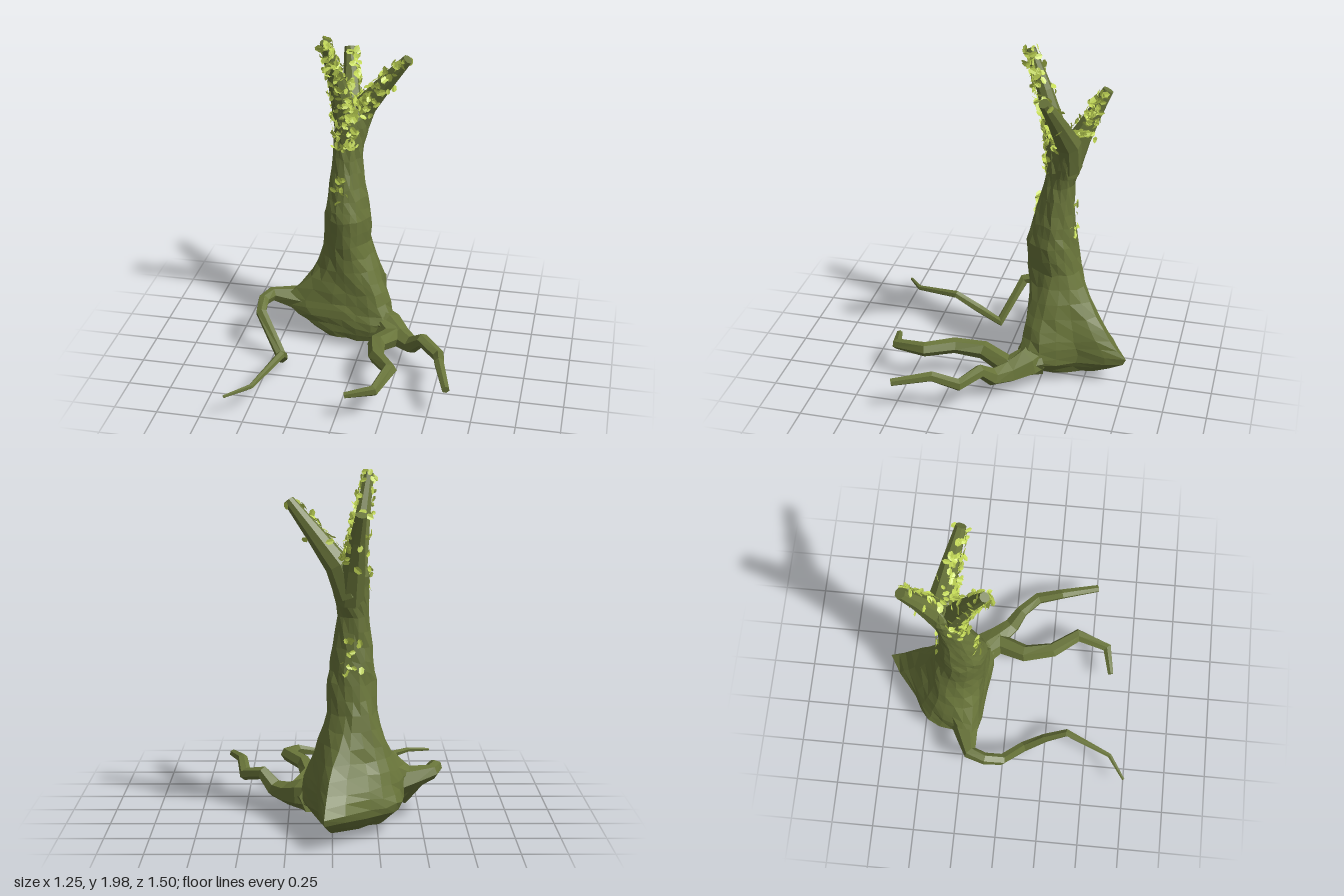
import * as THREE from 'three';
import { mergeGeometries } from 'three/addons/utils/BufferGeometryUtils.js';

const V = (x, y, z) => new THREE.Vector3(x, y, z);

let seed = 7;
const rand = () => (seed = (seed * 16807) % 2147483647) / 2147483647;
const jitter = (s) => (rand() - 0.5) * 2 * s;

// Skin a list of rings (counter-clockwise about the travel direction), closed at both ends
function loft(rings) {
  const n = rings[0].length, pos = [], index = [];
  rings.forEach((ring) => ring.forEach((p) => pos.push(p.x, p.y, p.z)));
  for (let j = 0; j < rings.length - 1; j++) {
    for (let i = 0; i < n; i++) {
      const a = j * n + i, b = j * n + (i + 1) % n;
      index.push(a, b, a + n, b, b + n, a + n);
    }
  }
  [0, rings.length - 1].forEach((j) => {
    const c = rings[j].reduce((s, p) => s.add(p), V(0, 0, 0)).divideScalar(n);
    const centre = pos.length / 3;
    pos.push(c.x, c.y, c.z);
    for (let i = 0; i < n; i++) {
      const a = j * n + i, b = j * n + (i + 1) % n;
      if (j === 0) index.push(centre, b, a);
      else index.push(centre, a, b);
    }
  });
  const g = new THREE.BufferGeometry();
  g.setAttribute('position', new THREE.Float32BufferAttribute(pos, 3));
  g.setIndex(index);
  const flat = g.toNonIndexed();
  flat.computeVertexNormals();
  return flat;
}

// Angular limb through points [x, y, z, radius]
function limb(points, sides = 6) {
  const p = points.map(([x, y, z]) => V(x, y, z));
  let normal = V(0.31, 0.2, 0.93);
  const rings = points.map((pt, k) => {
    const t = V(0, 0, 0);
    if (k > 0) t.add(p[k].clone().sub(p[k - 1]).normalize());
    if (k < p.length - 1) t.add(p[k + 1].clone().sub(p[k]).normalize());
    t.normalize();
    normal = normal.clone().addScaledVector(t, -normal.dot(t)).normalize();
    const side = t.clone().cross(normal);
    return Array.from({ length: sides }, (_, i) => {
      const a = (i / sides) * Math.PI * 2;
      return p[k].clone().addScaledVector(normal, pt[3] * Math.cos(a)).addScaledVector(side, pt[3] * Math.sin(a));
    });
  });
  return loft(rings);
}

// Trunk: irregular outlines at the foot, ovals above, splined round and upward
function trunkGeometry() {
  const foot = [
    [0.07, [0.1, -0.25, 0.07, -0.14, -0.03, -0.13, -0.15, -0.15, -0.25, -0.2,
      -0.28, -0.32, -0.25, -0.42, -0.14, -0.49, 0, -0.55, 0.06, -0.4]],
    [0.17, [0.18, -0.25, 0.15, -0.12, -0.03, -0.12, -0.2, -0.14, -0.36, -0.17,
      -0.38, -0.31, -0.35, -0.47, -0.2, -0.57, 0.045, -0.75, 0.08, -0.47]],
    [0.29, [0.16, -0.26, 0.1, -0.15, -0.03, -0.14, -0.18, -0.15, -0.48, -0.185,
      -0.4, -0.31, -0.33, -0.45, -0.2, -0.55, 0.035, -0.66, 0.08, -0.45]],
    [0.45, [0.1, -0.26, 0.05, -0.17, -0.04, -0.15, -0.16, -0.15, -0.3, -0.2,
      -0.32, -0.31, -0.29, -0.41, -0.18, -0.48, -0.01, -0.55, 0.06, -0.42]],
  ];
  // height, centre x, centre z, radius x, radius z
  const ovals = [
    [0.65, -0.11, -0.295, 0.145, 0.16], [0.85, -0.105, -0.27, 0.135, 0.145],
    [1.0, -0.11, -0.28, 0.115, 0.12], [1.2, -0.115, -0.305, 0.09, 0.088],
    [1.35, -0.1, -0.335, 0.098, 0.088], [1.47, -0.09, -0.355, 0.1, 0.085],
    [1.53, -0.09, -0.36, 0.06, 0.05],
  ];
  const keys = foot.map(([y, xz]) => Array.from({ length: 10 }, (_, i) => V(xz[2 * i], y, xz[2 * i + 1])));
  ovals.forEach(([y, cx, cz, rx, rz]) => keys.push(Array.from({ length: 10 }, (_, i) => {
    const a = (i / 10) * Math.PI * 2;
    const groove = i === 1 ? 0.88 : 1;
    return V(cx + rx * groove * Math.cos(a), y, cz + rz * groove * Math.sin(a));
  })));
  const around = 20, up = 24;
  const fine = keys.map((k) => {
    const c = new THREE.CatmullRomCurve3(k, true);
    return Array.from({ length: around }, (_, i) => c.getPoint(i / around));
  });
  const columns = Array.from({ length: around }, (_, i) => new THREE.CatmullRomCurve3(fine.map((r) => r[i])));
  const rings = [];
  for (let j = 0; j <= up; j++) {
    // Slight unevenness gives the bark its facets
    rings.push(columns.map((c) => c.getPoint(j / up).add(V(jitter(0.006), jitter(0.01), jitter(0.006)))).reverse());
  }
  return loft(rings);
}

const branches = {
  frontBranch: [[-0.1, 1.3, -0.31, 0.08], [-0.13, 1.5, -0.28, 0.066], [-0.165, 1.75, -0.2, 0.044], [-0.2, 1.97, -0.11, 0.028]],
  leftBranch: [[-0.09, 1.33, -0.36, 0.075], [-0.03, 1.5, -0.365, 0.072], [0.1, 1.67, -0.325, 0.05], [0.235, 1.84, -0.28, 0.03]],
  backBranch: [[-0.1, 1.3, -0.34, 0.08], [-0.115, 1.5, -0.41, 0.066], [-0.13, 1.65, -0.485, 0.045], [-0.15, 1.79, -0.555, 0.032]],
};

const roots = {
  rightRoot: [[-0.3, 0.25, -0.26, 0.1], [-0.44, 0.275, -0.225, 0.068], [-0.56, 0.3, -0.19, 0.042], [-0.59, 0.305, -0.1, 0.036],
    [-0.58, 0.28, 0, 0.034], [-0.425, 0.045, 0.12, 0.032], [-0.385, 0.15, 0.25, 0.027],
    [-0.365, 0.24, 0.38, 0.024], [-0.47, 0.19, 0.65, 0.015], [-0.605, 0.165, 0.745, 0.009]],
  middleRoot: [[0.1, 0.17, -0.24, 0.1], [0.2, 0.15, -0.08, 0.066], [0.135, 0.195, 0.08, 0.053], [0.165, 0.22, 0.25, 0.046],
    [0.27, 0.235, 0.4, 0.042], [0.215, 0.21, 0.585, 0.032], [0.055, 0.18, 0.62, 0.019]],
  leftRoot: [[0.02, 0.18, -0.25, 0.11], [0.17, 0.165, -0.18, 0.088], [0.25, 0.145, -0.1, 0.066], [0.33, 0.15, -0.02, 0.052],
    [0.4, 0.225, 0.035, 0.04], [0.51, 0.19, 0.13, 0.037], [0.535, 0.24, 0.28, 0.031], [0.605, 0.21, 0.5, 0.023]],
};

// One nearly flat, pointed oval leaf, attached at its tip
function leafGeometry() {
  const g = new THREE.CircleGeometry(0.5, 6).toNonIndexed();
  const p = g.attributes.position;
  for (let i = 0; i < p.count; i++) {
    const y = p.getY(i) * 0.7;
    p.setXYZ(i, p.getX(i) + 0.3, y, Math.abs(y) * 0.2);
  }
  g.computeVertexNormals();
  return g;
}

// Scatter leaves along a limb, biased toward one facing direction
function scatter(points, count, facing, spread) {
  const base = leafGeometry(), out = [];
  for (let k = 0; k < count; k++) {
    const s = rand() * (points.length - 1), j = Math.floor(s), f = s - j;
    const a = points[j], b = points[j + 1];
    const at = V(...a).lerp(V(...b), f);
    const axis = V(...b).sub(V(...a)).normalize();
    const dir = V(jitter(1), jitter(1), jitter(1)).multiplyScalar(spread).add(V(...facing).normalize());
    dir.addScaledVector(axis, -dir.dot(axis)).normalize();
    at.addScaledVector(dir, THREE.MathUtils.lerp(a[3], b[3], f) + 0.008);
    const lean = dir.clone().add(V(jitter(0.7), jitter(0.7), jitter(0.7))).normalize();
    const q = new THREE.Quaternion().setFromUnitVectors(V(0, 0, 1), lean)
      .multiply(new THREE.Quaternion().setFromAxisAngle(V(0, 0, 1), rand() * Math.PI * 2));
    const size = 0.032 + rand() * 0.024;
    out.push(base.clone().applyMatrix4(new THREE.Matrix4().compose(at, q, V(size, size, size))));
  }
  return mergeGeometries(out);
}

export function createModel() {
  const group = new THREE.Group();
  const bark = new THREE.MeshStandardMaterial({ color: 0x69753a, flatShading: true });
  const leaf = new THREE.MeshStandardMaterial({ color: 0xc6dc58, flatShading: true, side: THREE.DoubleSide });
  const add = (name, geometry, material) => {
    const mesh = new THREE.Mesh(geometry, material);
    mesh.name = name;
    group.add(mesh);
  };

  add('trunk', trunkGeometry(), bark);
  for (const [name, path] of Object.entries(branches)) add(name, limb(path, 8), bark);
  for (const [name, path] of Object.entries(roots)) add(name, limb(path), bark);

  // Foliage on the branches, the fork and the waist of the trunk
  const { frontBranch, leftBranch, backBranch } = branches;
  add('frontBranchLeaves', scatter(frontBranch.slice(1), 120, [0.2, 0.2, 0.7], 1.5), leaf);
  add('leftBranchLeaves', scatter(leftBranch.slice(1), 75, [-0.3, 0.4, 1], 1), leaf);
  add('backBranchLeaves', scatter(backBranch.slice(1), 65, [1, 0.3, 0.1], 1.2), leaf);
  add('forkLeaves', scatter([[-0.12, 1.28, -0.32, 0.085], [-0.11, 1.53, -0.32, 0.085]], 80, [-0.1, 0, 1], 0.9), leaf);
  const waist = [[-0.12, 0.93, -0.28, 0.12], [-0.12, 1.12, -0.295, 0.1]];
  add('frontWaistLeaves', scatter(waist, 13, [-0.1, 0, 1], 0.35), leaf);
  add('backWaistLeaves', scatter(waist, 13, [0.1, 0, -1], 0.45), leaf);
  return group;
}
